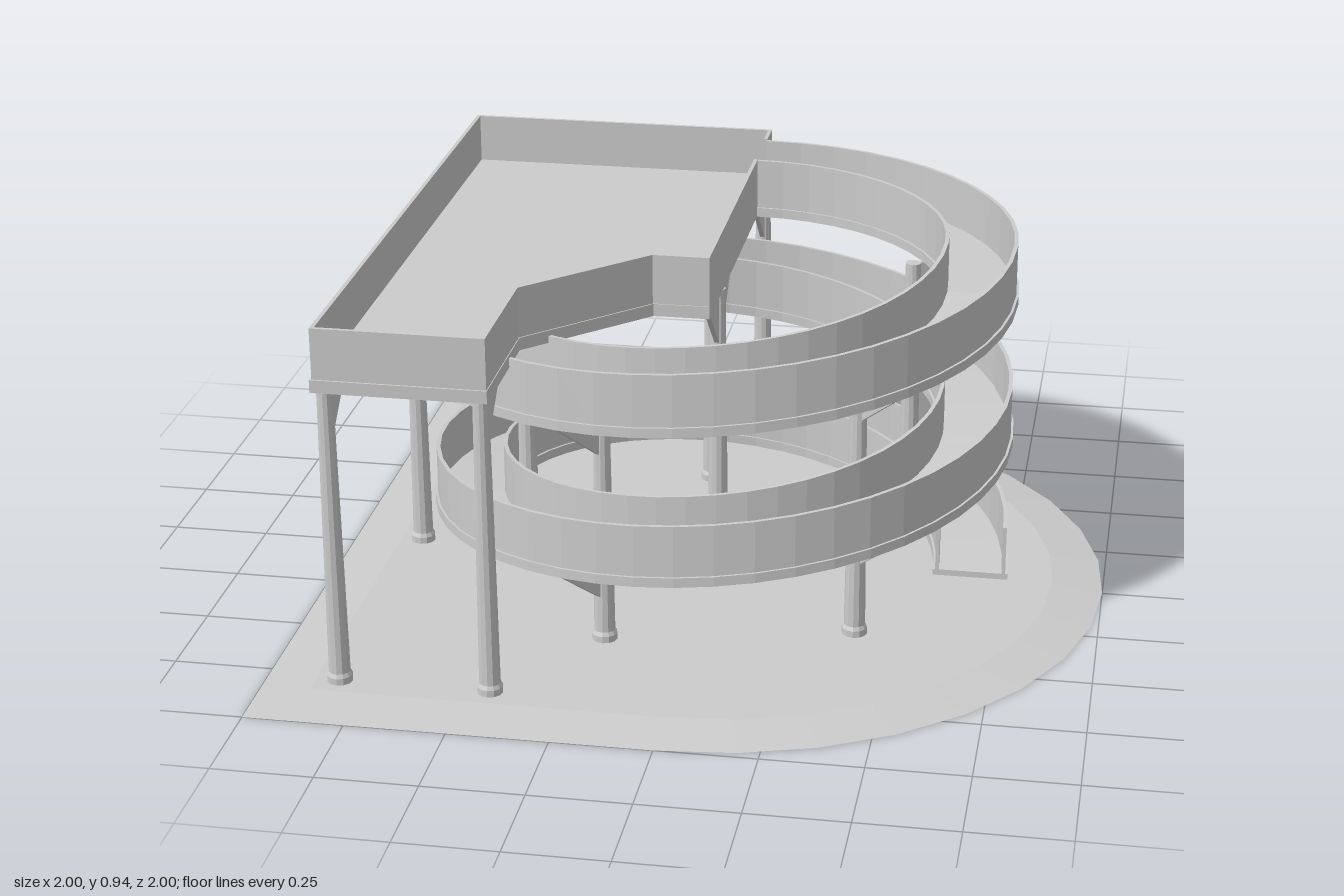
import * as THREE from 'three';

const FLOOR = 0.785, DROP = 0.388, R_IN = 0.56, R_OUT = 0.743;
const material = new THREE.MeshStandardMaterial({ color: 0xcccccc, flatShading: true });

function add(parent, geometry, name) {
  const mesh = new THREE.Mesh(geometry, material);
  mesh.name = name;
  parent.add(mesh);
  return mesh;
}

// Horizontal slab from an outline of [x, z] points
function slab(points, bottom, top) {
  const shape = new THREE.Shape(points.map(([x, z]) => new THREE.Vector2(x, z)));
  const geo = new THREE.ExtrudeGeometry(shape, { depth: top - bottom, bevelEnabled: false });
  return geo.rotateX(Math.PI / 2).translate(0, top, 0);
}

// Underside height of the ramp: level for a quarter turn, then descending
const rampHeight = (a) => FLOOR - DROP * Math.max(a, 0) / (2 * Math.PI);

// Sweep a trough section down the spiral
function rampGeometry() {
  const i = R_IN, o = R_OUT, t = 0.01, f = 0.025, h = 0.157, lip = 0.006;
  const section = [
    [i - lip, 0], [o + lip, 0], [o + lip, f], [o, f], [o, h], [o - t, h],
    [o - t, f], [i + t, f], [i + t, h], [i, h], [i, f], [i - lip, f],
  ];
  const n = section.length, steps = 108, start = -Math.PI / 2, end = Math.PI * 4;
  const pos = [], index = [];
  for (let s = 0; s <= steps; s++) {
    const a = start + (end - start) * s / steps;
    for (const [r, y] of section) {
      pos.push(r * Math.cos(a) + 0.004, rampHeight(a) + y, r * Math.sin(a) - 0.004);
    }
  }
  for (let s = 0; s < steps; s++) {
    for (let k = 0; k < n; k++) {
      const p = s * n + k, q = s * n + (k + 1) % n;
      index.push(p, q, q + n, p, q + n, p + n);
    }
  }
  const caps = THREE.ShapeUtils.triangulateShape(section.map(([x, y]) => new THREE.Vector2(x, y)), []);
  const last = steps * n;
  for (const [a, b, c] of caps) index.push(a, c, b, last + a, last + b, last + c);
  const geo = new THREE.BufferGeometry();
  geo.setAttribute('position', new THREE.Float32BufferAttribute(pos, 3));
  geo.setIndex(index);
  const flat = geo.toNonIndexed();
  flat.computeVertexNormals();
  return flat;
}

// Tapered round post with a wider foot
function post(parent, x, z, top, name) {
  const profile = [[0, 0], [0.032, 0], [0.032, 0.035], [0.027, 0.045], [0.02, top], [0, top]];
  const geo = new THREE.LatheGeometry(profile.map(([r, y]) => new THREE.Vector2(r, y)), 12);
  add(parent, geo, name).position.set(x, 0, z);
}

// Triangular brace below y, reaching out from (x, z) along angle a
function gusset(parent, x, y, z, a, reach, drop, name) {
  const shape = new THREE.Shape();
  shape.moveTo(0, 0);
  shape.lineTo(0, -drop);
  shape.lineTo(reach, 0);
  shape.closePath();
  const geo = new THREE.ExtrudeGeometry(shape, { depth: 0.012, bevelEnabled: false });
  geo.translate(0, 0, -0.006);
  const mesh = add(parent, geo, name);
  mesh.position.set(x, y, z);
  mesh.rotation.y = -a;
}

function createModel() {
  const model = new THREE.Group();
  model.name = 'spiralRampTower';

  // Base plate with a rounded side and sloping edge
  const outline = [[-1, 1], [-1, -1]];
  for (let k = 0; k <= 16; k++) {
    const a = -Math.PI / 2 + Math.PI * k / 16;
    outline.push([Math.cos(a), Math.sin(a)]);
  }
  const base = slab(outline, 0, 0.018);
  const p = base.attributes.position;
  for (let k = 0; k < p.count; k++) {
    if (p.getY(k) > 0.01) p.setXYZ(k, p.getX(k) * 0.87, p.getY(k), p.getZ(k) * 0.87);
  }
  base.computeVertexNormals();
  add(model, base, 'basePlate');

  // Upper deck with a slightly projecting edge
  const deck = new THREE.Group();
  deck.name = 'deck';
  model.add(deck);
  add(deck, slab([
    [-0.838, -0.838], [0.005, -0.838], [0.005, 0.22], [-0.136, 0.22],
    [-0.413, 0.497], [-0.413, 0.838], [-0.838, 0.838],
  ], FLOOR, 0.817), 'deckFloor');

  // Parapet around the deck, open where the ramp leaves
  const rail = [
    [0, -0.565], [0, 0.212], [-0.14, 0.212], [-0.42, 0.492], [-0.42, 0.828],
    [-0.828, 0.828], [-0.828, -0.828], [0, -0.828], [0, -0.75],
  ];
  for (let k = 0; k + 1 < rail.length; k++) {
    const [x0, z0] = rail[k], [x1, z1] = rail[k + 1];
    const wall = add(deck, new THREE.BoxGeometry(Math.hypot(x1 - x0, z1 - z0) + 0.01, 0.135, 0.01), 'parapet');
    wall.position.set((x0 + x1) / 2, 0.8775, (z0 + z1) / 2);
    wall.rotation.y = -Math.atan2(z1 - z0, x1 - x0);
  }

  // Spiral ramp
  add(model, rampGeometry(), 'spiralRamp');

  // Deck posts: x, z and the directions along z that carry braces
  const deckPosts = [
    [-0.81, -0.81, [1]], [-0.81, 0, [1, -1]], [-0.81, 0.81, [-1]],
    [-0.435, 0.81, [-1]], [-0.015, -0.81, [1]], [-0.01, 0, [1, -1]],
  ];
  for (const [x, z, sides] of deckPosts) {
    post(model, x, z, FLOOR, 'deckPost');
    for (const s of sides) gusset(model, x, FLOOR, z, s * Math.PI / 2, 0.175, 0.16, 'deckBrace');
  }

  // Ring of five posts inside the spiral, bracing each turn of the ramp
  for (let k = 0; k < 5; k++) {
    const a = THREE.MathUtils.degToRad(-30 + 72 * k);
    const x = 0.533 * Math.cos(a), z = 0.533 * Math.sin(a);
    const top = k >= 3 ? FLOOR : rampHeight(a);
    post(model, x, z, top, 'rampPost');
    for (let turn = 0; turn < 3; turn++) {
      const y = rampHeight(a + turn * 2 * Math.PI);
      if (y > 0.17 && a + turn * 2 * Math.PI < 4 * Math.PI) {
        gusset(model, x, y, z, a, 0.2, 0.15, 'rampBrace');
      }
    }
  }
  return model;
}

export { createModel };
